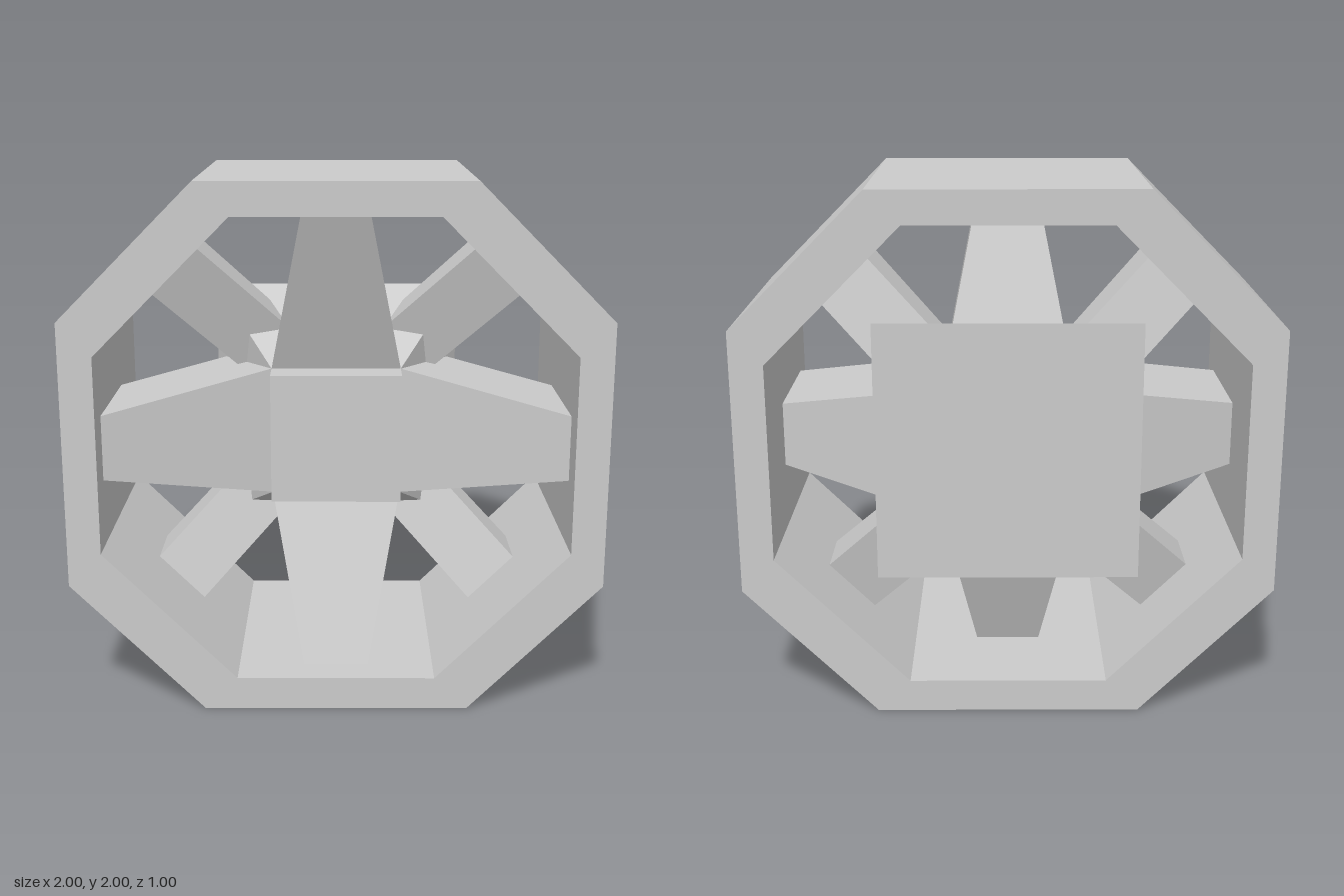
import * as THREE from 'three';

const material = new THREE.MeshStandardMaterial({ color: 0xcccccc, flatShading: true });

// Chamfered-square octagon: a = half the flat top edge, b = half the overall size
function octagon(a, b) {
  const pts = [[a, b], [-a, b], [-b, a], [-b, -a], [-a, -b], [a, -b], [b, -a], [b, a]];
  return pts.map(([x, y]) => new THREE.Vector2(x, y));
}

// Radial beam along +y; each end gives radius r, width w, front z and back z
function beam(root, tip) {
  const geo = new THREE.BoxGeometry(1, 1, 1);
  const p = geo.attributes.position;
  for (let i = 0; i < p.count; i++) {
    const end = p.getY(i) > 0 ? tip : root;
    p.setXYZ(i, p.getX(i) * end.w, end.r, p.getZ(i) > 0 ? end.front : end.back);
  }
  geo.computeVertexNormals();
  return geo;
}

export function createModel() {
  const model = new THREE.Group();
  const wheel = new THREE.Group();
  wheel.name = 'wheel';
  wheel.position.y = 1;
  model.add(wheel);

  const add = (name, geo) => {
    const mesh = new THREE.Mesh(geo, material);
    mesh.name = name;
    wheel.add(mesh);
    return mesh;
  };

  // Octagonal rim
  const shape = new THREE.Shape(octagon(0.5, 1));
  shape.holes.push(new THREE.Path(octagon(0.375, 0.875).reverse()));
  const rim = new THREE.ExtrudeGeometry(shape, { depth: 1, bevelEnabled: false });
  rim.translate(0, 0, -0.5);
  add('rim', rim);

  // Hub: square frustum widening to the back, with a square cap in front
  const hub = new THREE.BoxGeometry(1, 1, 0.5);
  const p = hub.attributes.position;
  for (let i = 0; i < p.count; i++) {
    if (p.getZ(i) > 0) p.setXY(i, p.getX(i) * 0.5, p.getY(i) * 0.5);
  }
  hub.translate(0, 0, -0.125);
  hub.computeVertexNormals();
  add('hub', hub);
  add('hubCap', new THREE.BoxGeometry(0.5, 0.5, 0.125)).position.z = 0.1875;

  // Four tapered main spokes and four slimmer diagonal braces
  const spoke = beam(
    { r: 0.25, w: 0.5, front: 0.125, back: -0.375 },
    { r: 0.875, w: 0.25, front: 0.375, back: -0.125 });
  const brace = beam(
    { r: 0.2, w: 0.25, front: -0.18, back: -0.37 },
    { r: 0.89, w: 0.25, front: 0.09, back: -0.16 });
  for (let i = 0; i < 4; i++) {
    const angle = i * Math.PI / 2;
    add('spoke', spoke).rotation.z = angle;
    add('diagonalBrace', brace).rotation.z = angle + Math.PI / 4;
  }

  return model;
}
